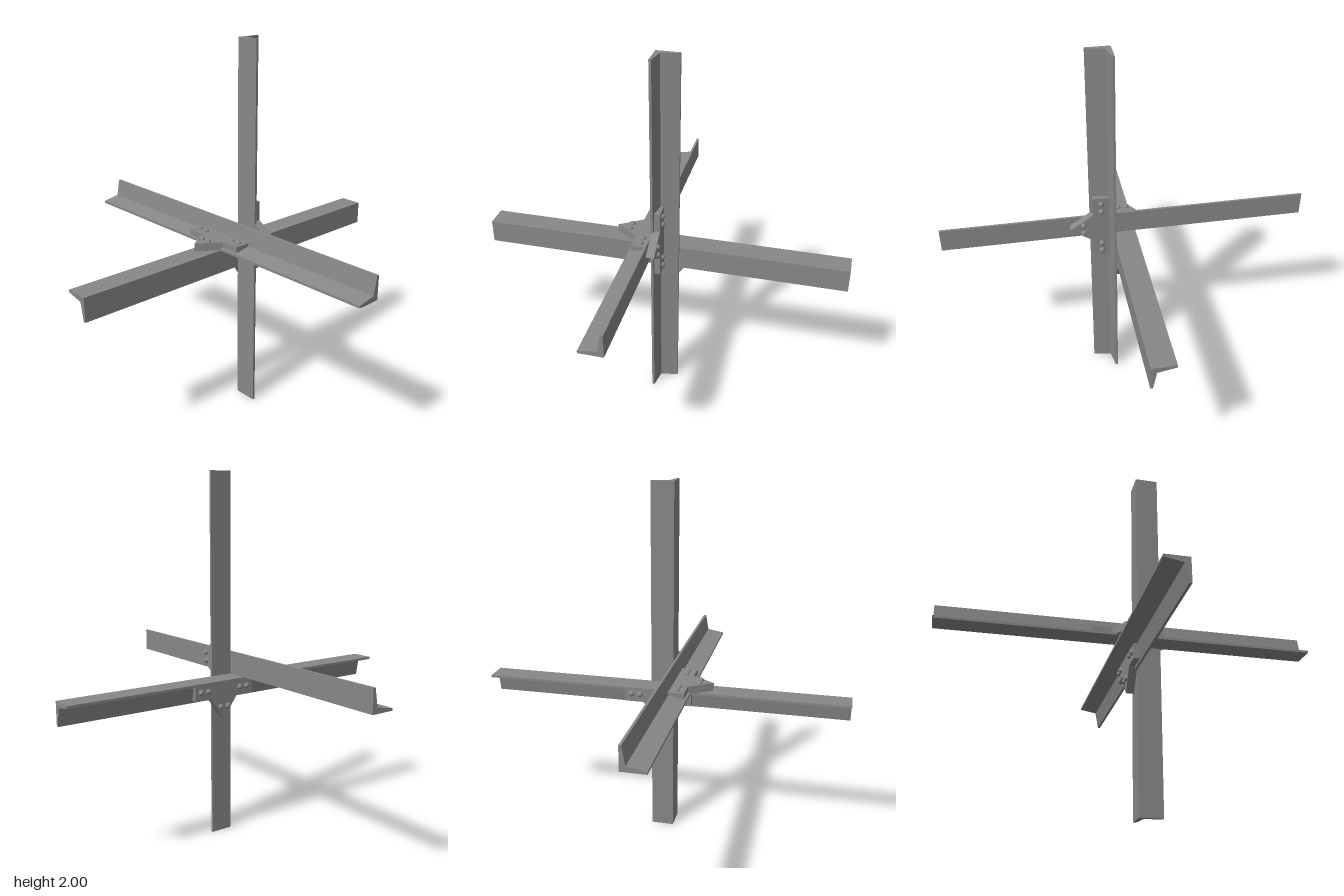
import * as THREE from 'three';

const polygon = (pts) => new THREE.Shape(pts.map(([x, y]) => new THREE.Vector2(x, y)));

export function createModel() {
  const model = new THREE.Group();
  model.name = 'beamObstacle';
  const steel = new THREE.MeshStandardMaterial({ color: 0x888888 });
  steel.name = 'steel grey';

  // Angle beam standing on y, heel on the axis, tapered flanges toward +x and +z
  const beamGeo = new THREE.ExtrudeGeometry(
    polygon([[0, 0], [0.125, 0], [0.125, 0.013], [0.03, 0.03], [0.013, 0.127], [0, 0.127]]),
    { depth: 2, bevelEnabled: false });
  beamGeo.rotateX(Math.PI / 2).translate(0, 1, 0);

  // Gusset plate with a pointed tip, lying against the +z flange
  const plateGeo = new THREE.ExtrudeGeometry(
    polygon([[0.028, -0.187], [0.114, -0.187], [0.114, -0.084], [0.239, 0],
      [0.114, 0.084], [0.114, 0.187], [0.028, 0.187]]),
    { depth: 0.044, bevelEnabled: false });
  plateGeo.rotateY(-Math.PI / 2).translate(0.047, 0, 0);

  // Domed rivet heads facing +x
  const rivetGeo = new THREE.SphereGeometry(0.016, 16, 8, 0, Math.PI * 2, 0, Math.PI / 2);
  rivetGeo.rotateZ(-Math.PI / 2);
  const rivets = [[0.152, 0.069], [0.104, 0.069], [0.024, 0.165]];

  const add = (parent, geo, name, x, y, z) => {
    const mesh = new THREE.Mesh(geo, steel);
    mesh.name = name;
    mesh.position.set(x, y, z);
    parent.add(mesh);
  };

  // The same beam, plate and rivets turned onto each axis about the shared corner
  const turn = new THREE.Quaternion().setFromRotationMatrix(new THREE.Matrix4().makeBasis(
    new THREE.Vector3(0, 1, 0), new THREE.Vector3(0, 0, -1), new THREE.Vector3(-1, 0, 0)));
  const rotation = new THREE.Quaternion();
  const units = [['uprightBeam', 0.093], ['lengthwiseBeam', 0.074], ['crosswiseBeam', 0.032]];
  for (const [name, shift] of units) {
    const unit = new THREE.Group();
    unit.name = name + 'Assembly';
    unit.position.set(-0.032, 0.907, 0.074);
    unit.quaternion.copy(rotation);
    add(unit, beamGeo, name, 0, shift, 0);
    add(unit, plateGeo, 'gussetPlate', 0, 0.077, 0);
    for (const [y, z] of rivets) {
      for (const side of [1, -1]) add(unit, rivetGeo, 'rivet', 0.047, 0.077 + side * y, z);
    }
    model.add(unit);
    rotation.multiply(turn);
  }
  return model;
}
